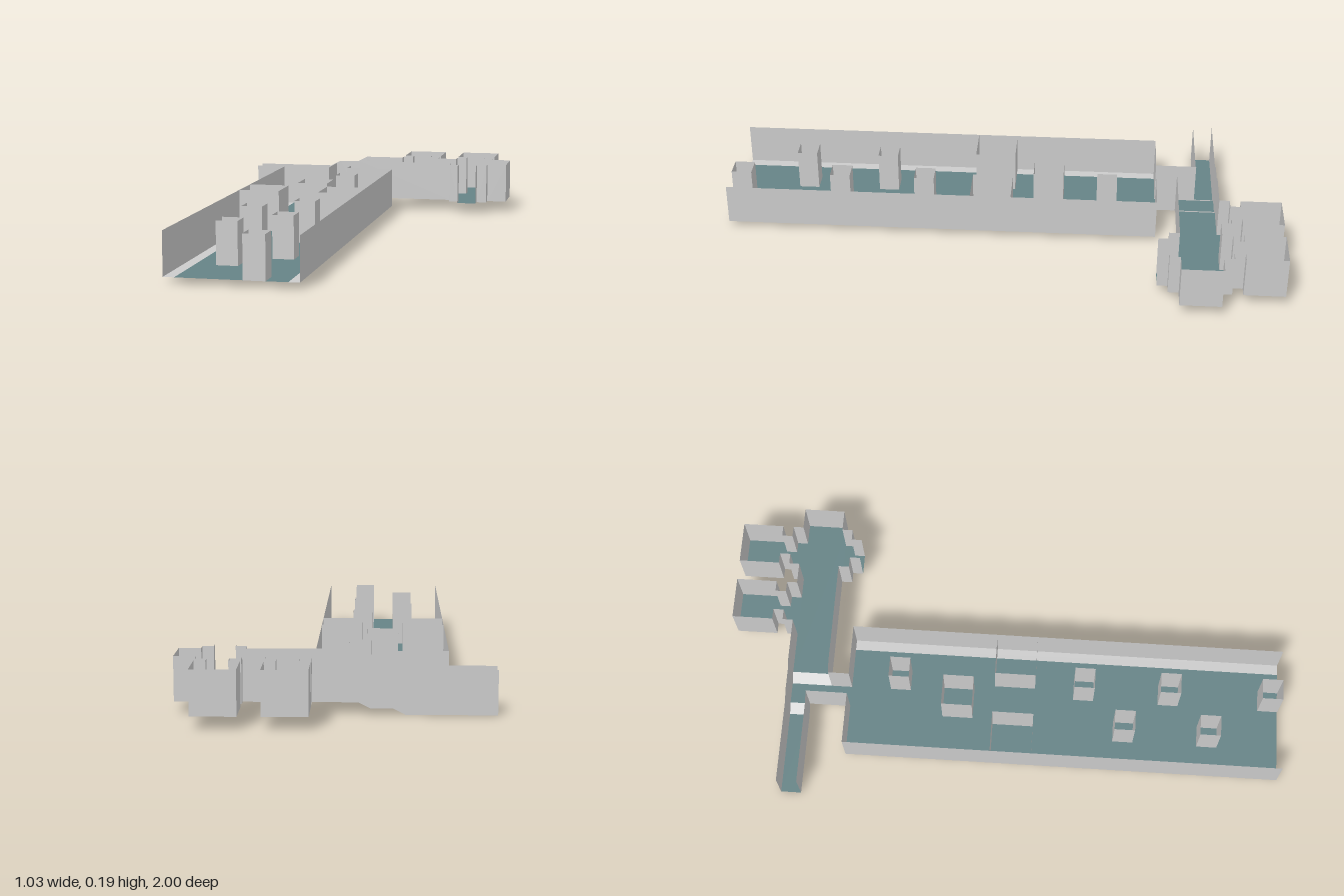
import * as THREE from 'three';

const H = 0.147; // wall height
const grey = new THREE.MeshStandardMaterial({ color: 0xcccccc, side: THREE.DoubleSide, flatShading: true });
const teal = new THREE.MeshStandardMaterial({ color: 0x668386, side: THREE.DoubleSide, flatShading: true });

// Floor height along the cross corridor: low wing, ramp, middle, ramp, high wing
const RAMPS = [[-0.225, 0], [-0.187, 0.02], [-0.113, 0.02], [-0.075, 0.04]];
function level(x) {
  if (x <= RAMPS[0][0]) return 0;
  for (let i = 1; i < RAMPS.length; i++) {
    const [x0, y0] = RAMPS[i - 1], [x1, y1] = RAMPS[i];
    if (x <= x1) return y0 + (y1 - y0) * (x - x0) / (x1 - x0);
  }
  return 0.04;
}
const hallLevel = () => 0.02;

function mesh(name, positions, index, material) {
  const g = new THREE.BufferGeometry();
  g.setAttribute('position', new THREE.Float32BufferAttribute(positions, 3));
  g.setIndex(index);
  g.computeVertexNormals();
  const m = new THREE.Mesh(g, material);
  m.name = name;
  return m;
}

// Thin upright wall along a plan path of [x, z] points
function wall(name, path, floorAt) {
  const pos = [], index = [];
  for (let i = 0; i + 1 < path.length; i++) {
    const b = pos.length / 3;
    for (const [x, z] of [path[i], path[i + 1]]) {
      const y = floorAt(x);
      pos.push(x, y, z, x, y + H, z);
    }
    index.push(b, b + 2, b + 1, b + 1, b + 2, b + 3);
  }
  return mesh(name, pos, index, grey);
}

// Flat or sloping rectangle of floor
function floor(name, x0, x1, z0, z1, floorAt, material = teal) {
  const a = floorAt(x0), b = floorAt(x1);
  return mesh(name, [x0, a, z0, x0, a, z1, x1, b, z1, x1, b, z0], [0, 1, 2, 0, 2, 3], material);
}

// Hollow open-topped box standing on the hall floor
function shaft(name, cx, cz, size) {
  const h = size / 2;
  return wall(name, [[cx - h, cz - h], [cx - h, cz + h], [cx + h, cz + h], [cx + h, cz - h], [cx - h, cz - h]], hallLevel);
}

export function createModel() {
  const model = new THREE.Group();
  const hall = new THREE.Group();
  hall.name = 'hall';
  const corridors = new THREE.Group();
  corridors.name = 'corridors';
  model.add(hall, corridors);

  // Hall floor with side strips
  hall.add(floor('hallFloor', -0.333, 0.033, -0.56, 1, hallLevel));
  hall.add(floor('rightFloorStrip', -0.37, -0.333, -0.56, 1, hallLevel, grey));
  hall.add(floor('leftFloorStrip', 0.033, 0.07, -0.56, 1, hallLevel, grey));

  // Hall walls, open at the front and with a doorway at the back
  hall.add(wall('rightHallWall', [[-0.37, 1], [-0.37, -0.56], [-0.187, -0.56]], hallLevel));
  hall.add(wall('leftHallWall', [[-0.113, -0.56], [0.07, -0.56], [0.07, 1]], hallLevel));

  // Pillars in two rows
  for (const [x, z] of [[-0.075, 0.965], [-0.225, 0.745], [-0.075, 0.6], [-0.225, 0.44], [-0.075, 0.29], [-0.075, -0.38]])
    hall.add(shaft('pillar', x, z, 0.073));
  hall.add(shaft('centralPillar', -0.15, -0.165, 0.11));

  // Square buttresses against both side walls
  for (const s of [-1, 1]) {
    const out = -0.15 + s * 0.22, inn = -0.15 + s * 0.073;
    hall.add(wall('buttress', [[out, 0.112], [inn, 0.112], [inn, -0.035], [out, -0.035]], hallLevel));
  }

  // Corridor floors and ramps
  corridors.add(floor('lowCorridorFloor', -0.52, -0.225, -0.78, -0.708, level));
  corridors.add(floor('lowRamp', -0.225, -0.187, -0.78, -0.708, level, grey));
  corridors.add(floor('connectorFloor', -0.187, -0.113, -0.78, -0.56, level));
  corridors.add(floor('highRamp', -0.113, -0.075, -0.78, -0.635, level, grey));
  corridors.add(floor('highCorridorFloor', -0.075, 0.515, -0.78, -0.635, level));

  // Back rooms with narrow necks
  const rooms = [0.147, 0.368], R = 0.0735, N = 0.036;
  for (const c of rooms) {
    corridors.add(floor('alcoveFloor', c - R, c + R, -0.817, -0.78, level));
    corridors.add(floor('neckFloor', c - N, c + N, -0.855, -0.817, level));
    corridors.add(floor('roomFloor', c - R, c + R, -1, -0.855, level));
  }

  // Front exit of the high corridor
  const e = rooms[1];
  corridors.add(floor('exitAlcoveFloor', e - R, e + R, -0.635, -0.597, level));
  corridors.add(floor('exitFloor', e - N, e + N, -0.597, -0.56, level));

  // Back wall follows the ramps and runs round both rooms, then down the end and to the exit
  const back = [[-0.52, -0.78], ...RAMPS.map(([x]) => [x, -0.78])];
  for (const c of rooms)
    back.push([c - R, -0.78], [c - R, -0.817], [c - N, -0.817], [c - N, -0.855], [c - R, -0.855], [c - R, -1],
      [c + R, -1], [c + R, -0.855], [c + N, -0.855], [c + N, -0.817], [c + R, -0.817], [c + R, -0.78]);
  back.push([0.515, -0.78], [0.515, -0.635], [e + R, -0.635], [e + R, -0.597], [e + N, -0.597], [e + N, -0.56]);
  corridors.add(wall('backCorridorWall', back, level));

  // Front walls on either side of the connector
  corridors.add(wall('lowFrontWall', [[-0.52, -0.708], [-0.225, -0.708], [-0.187, -0.708], [-0.187, -0.56]], level));
  corridors.add(wall('highFrontWall', [[-0.113, -0.56], [-0.113, -0.635], [-0.075, -0.635], [e - R, -0.635],
    [e - R, -0.597], [e - N, -0.597], [e - N, -0.56]], level));

  return model;
}
